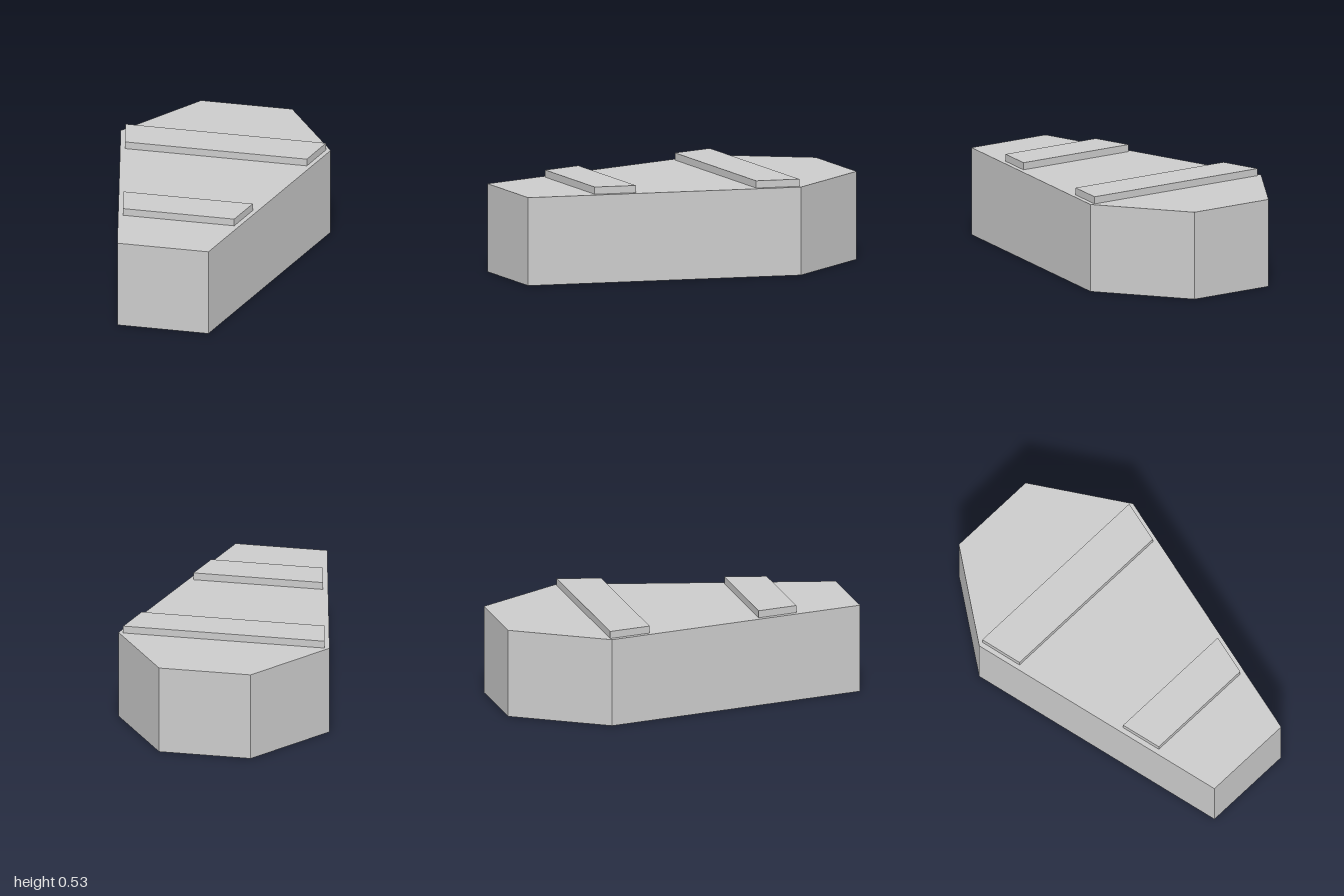
import * as THREE from 'three';

const material = new THREE.MeshStandardMaterial({ color: 0xcccccc, flatShading: true });

// Upright prism, symmetric in x, from [half width, z] pairs running back to front
function prism(name, profile, bottom, top) {
  const right = profile.map(([w, z]) => new THREE.Vector2(-w, -z));
  const left = profile.map(([w, z]) => new THREE.Vector2(w, -z)).reverse();
  const geometry = new THREE.ExtrudeGeometry(new THREE.Shape([...right, ...left]), {
    depth: top - bottom,
    bevelEnabled: false,
  });
  geometry.rotateX(-Math.PI / 2).translate(0, bottom, 0);
  const mesh = new THREE.Mesh(geometry, material);
  mesh.name = name;
  return mesh;
}

export function createModel() {
  const group = new THREE.Group();
  group.name = 'coffin';

  // Six-sided body, widest at the shoulders
  group.add(prism('body', [[0.257, -1], [0.592, -0.5], [0.257, 1]], 0, 0.49));

  // Raised tapered slats on the lid
  group.add(prism('shoulderSlat', [[0.565, -0.503], [0.513, -0.265]], 0.49, 0.53));
  group.add(prism('footSlat', [[0.364, 0.395], [0.313, 0.622]], 0.49, 0.53));

  return group;
}
